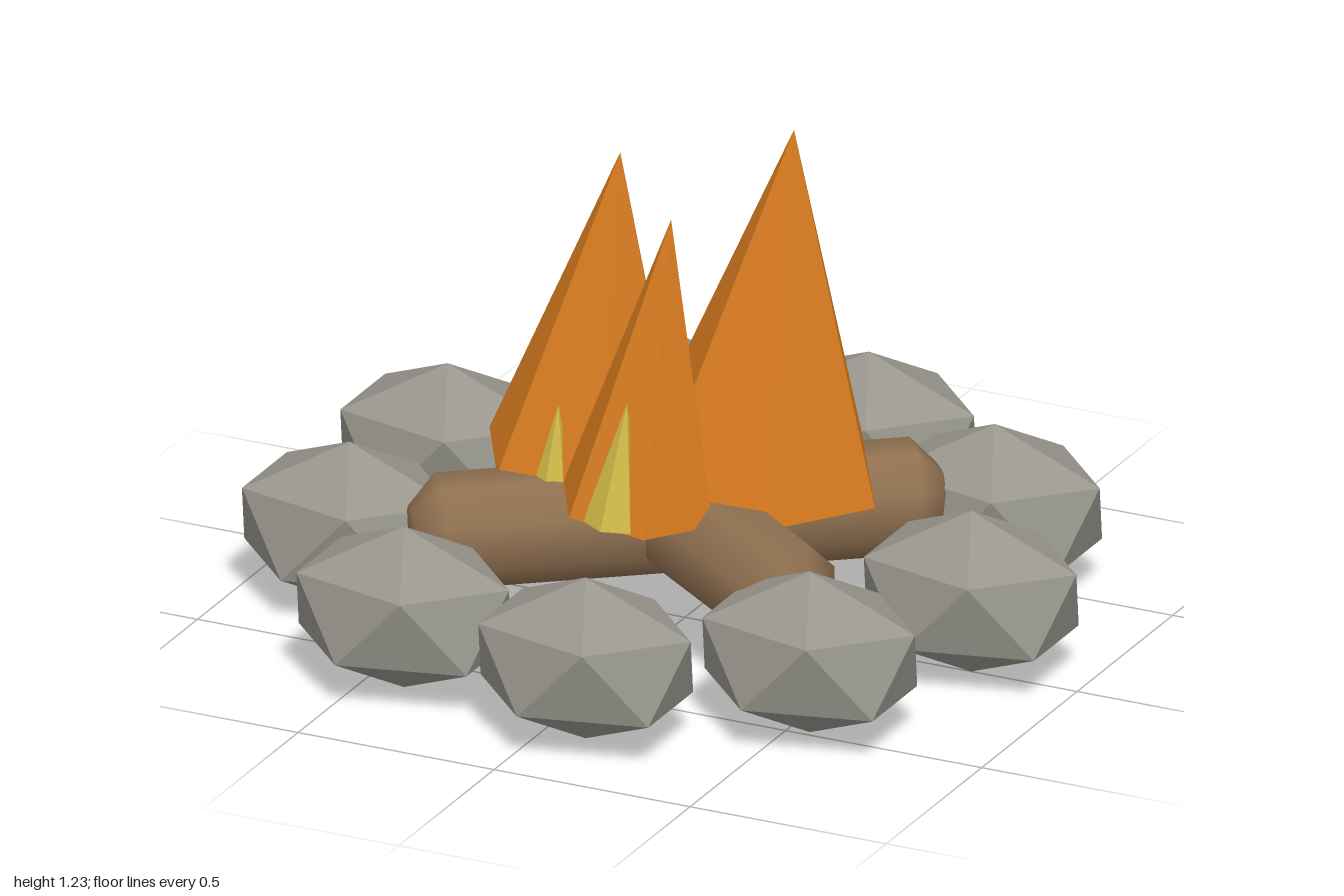
import * as THREE from 'three';
import { ConvexGeometry } from 'three/addons/geometries/ConvexGeometry.js';

export function createModel() {
  const stone = new THREE.MeshStandardMaterial({ color: 0x97958c, flatShading: true, name: 'stone grey' });
  const wood = new THREE.MeshStandardMaterial({ color: 0x8f7050, name: 'wood brown' });
  const orange = new THREE.MeshStandardMaterial({ color: 0xd97c20, flatShading: true, name: 'flame orange' });
  const yellow = new THREE.MeshStandardMaterial({ color: 0xd2bc48, flatShading: true, name: 'flame yellow' });

  const model = new THREE.Group();
  model.name = 'campfire';
  const cx = -0.023; // centre of the stone ring and log cross

  const add = (name, geometry, material, parent = model) => {
    const mesh = new THREE.Mesh(geometry, material);
    mesh.name = name;
    parent.add(mesh);
    return mesh;
  };

  // Ring of nine stretched icosahedron stones, all facing the same way
  const points = [new THREE.Vector3(0, 0.2, 0), new THREE.Vector3(0, -0.2, 0)];
  for (let i = 0; i < 10; i++) {
    const a = (i * Math.PI) / 5;
    const y = i % 2 ? -0.0894 : 0.0894;
    points.push(new THREE.Vector3(0.268 * Math.cos(a), y, 0.2 * Math.sin(a)));
  }
  const stoneGeometry = new ConvexGeometry(points);
  const stones = new THREE.Group();
  stones.name = 'stoneRing';
  model.add(stones);
  for (let i = 0; i < 9; i++) {
    const a = (i * Math.PI * 2) / 9;
    add(`stone${i + 1}`, stoneGeometry, stone, stones)
      .position.set(cx + 0.753 * Math.cos(a), 0.2, 0.753 * Math.sin(a));
  }

  // Two crossed eight-sided logs with bevelled ends
  const profile = [[0, -0.62], [0.065, -0.62], [0.135, -0.555], [0.135, 0.555], [0.065, 0.62], [0, 0.62]]
    .map(([r, y]) => new THREE.Vector2(r, y));
  const logGeometry = new THREE.LatheGeometry(profile, 8);
  logGeometry.rotateY(Math.PI / 8);
  logGeometry.rotateZ(Math.PI / 2);
  for (const side of [1, -1]) {
    const log = add(side > 0 ? 'logA' : 'logB', logGeometry, wood);
    log.position.set(cx, 0.255, 0);
    log.rotation.y = side * 0.645;
  }

  // Leaning six-sided flame from a base centre to a tip
  const addFlame = (name, base, tip, radius, turn, material) => {
    const start = new THREE.Vector3(...base);
    const axis = new THREE.Vector3(...tip).sub(start);
    const h = axis.length();
    const geometry = new THREE.ConeGeometry(radius, h, 6, 1, false, turn);
    geometry.translate(0, h / 2, 0);
    const flame = add(name, geometry, material);
    flame.position.copy(start);
    flame.quaternion.setFromUnitVectors(new THREE.Vector3(0, 1, 0), axis.normalize());
  };
  const q = Math.PI / 2;
  addFlame('tallFlame', [0.15, 0.355, -0.078], [0.24, 1.228, -0.078], 0.298, q, orange);
  addFlame('leftFlame', [-0.25, 0.355, 0], [-0.165, 1.127, 0], 0.25, q, orange);
  addFlame('frontFlame', [-0.022, 0.355, 0.2], [0.062, 1.077, 0.2], 0.192, q, orange);

  // Small yellow tongues at the front
  addFlame('frontTongue', [-0.022, 0.355, 0.33], [0.003, 0.65, 0.31], 0.07, 0, yellow);
  addFlame('leftTongue', [-0.245, 0.355, 0.19], [-0.235, 0.555, 0.18], 0.045, 0, yellow);

  return model;
}
